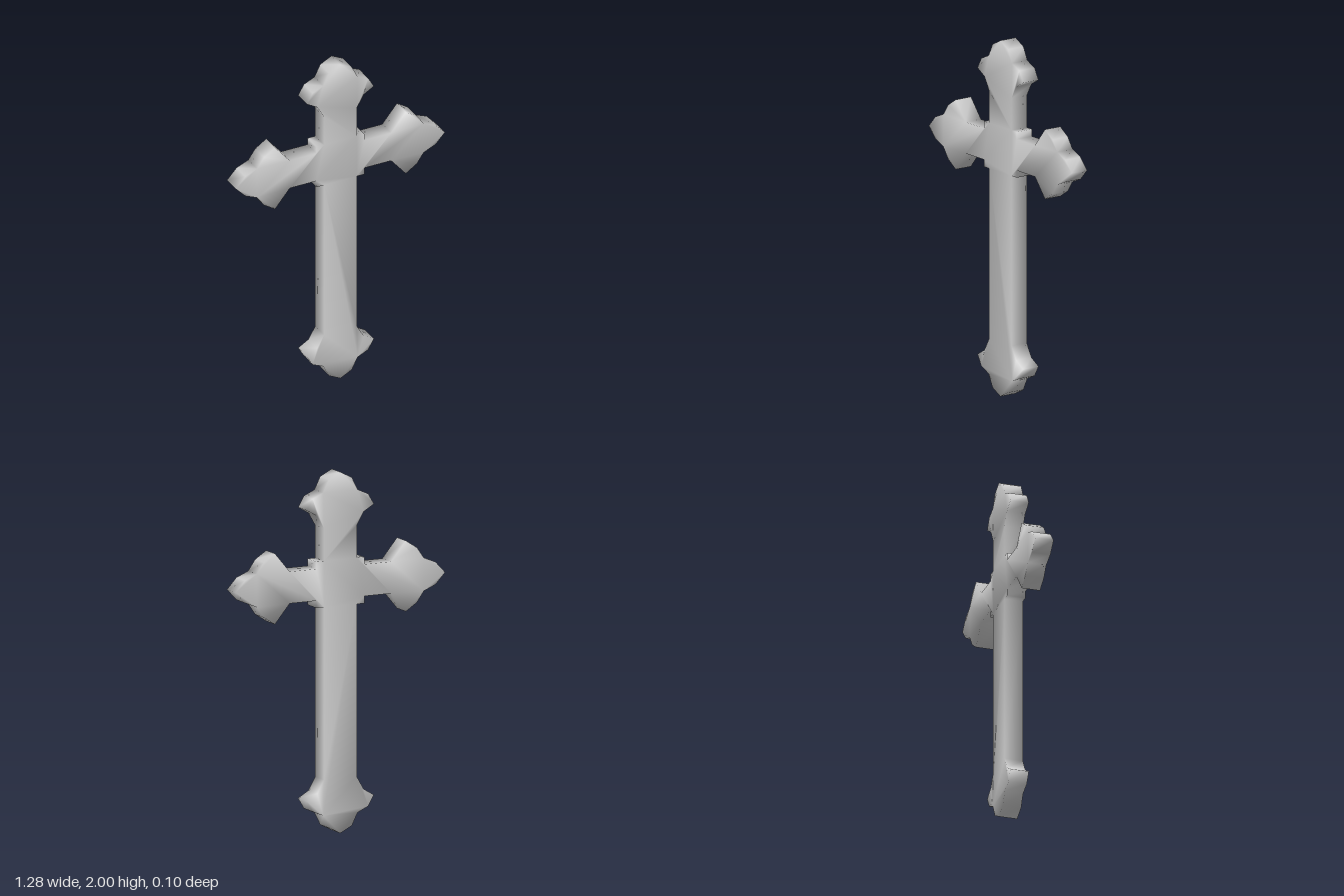
import * as THREE from 'three';
import { mergeVertices } from 'three/addons/utils/BufferGeometryUtils.js';

const DEPTH = 0.105;
const ARM_Y = 1.388;

// Half outline of the shaft's pointed finial: [half width, distance from the tip]
const shaftFinial = [
  [0, 0], [0.07, 0.036], [0.105, 0.106], [0.17, 0.135],
  [0.205, 0.195], [0.142, 0.232], [0.1, 0.305],
];

// Upper outline of an arm from the centre block to its tip: [x, height above the arm axis]
const armOutline = [
  [0.1, 0.128], [0.147, 0.128], [0.147, 0.088], [0.31, 0.088], [0.4, 0.196],
  [0.468, 0.152], [0.51, 0.092], [0.582, 0.062], [0.64, 0],
];

// Closed outline, traced up the +x side and mirrored down the other
function crossOutline() {
  const bottom = shaftFinial.map(([x, d]) => [x, d]);
  const top = shaftFinial.map(([x, d]) => [x, 2 - d]).reverse();
  const armBelow = armOutline.map(([x, h]) => [x, ARM_Y - h]);
  const armAbove = armOutline.slice(0, -1).map(([x, h]) => [x, ARM_Y + h]).reverse();
  const right = [...bottom, ...armBelow, ...armAbove, ...top];
  const left = right.slice(1, -1).map(([x, y]) => [-x, y]).reverse();
  return [...right, ...left].map(([x, y]) => new THREE.Vector2(x, y));
}

export function createModel() {
  const group = new THREE.Group();
  group.name = 'ornateCross';

  // One flat slab: shaft, arms, stepped centre and four finials
  let geometry = new THREE.ExtrudeGeometry(new THREE.Shape(crossOutline()), {
    depth: DEPTH, bevelEnabled: false,
  });
  geometry.translate(0, 0, -DEPTH / 2);

  // Share corners so the shading runs softly over the edges
  geometry.deleteAttribute('normal');
  geometry.deleteAttribute('uv');
  geometry = mergeVertices(geometry, 1e-4);
  geometry.computeVertexNormals();

  const cross = new THREE.Mesh(geometry, new THREE.MeshStandardMaterial({ color: 0xcccccc }));
  cross.name = 'crossBody';
  group.add(cross);
  return group;
}
